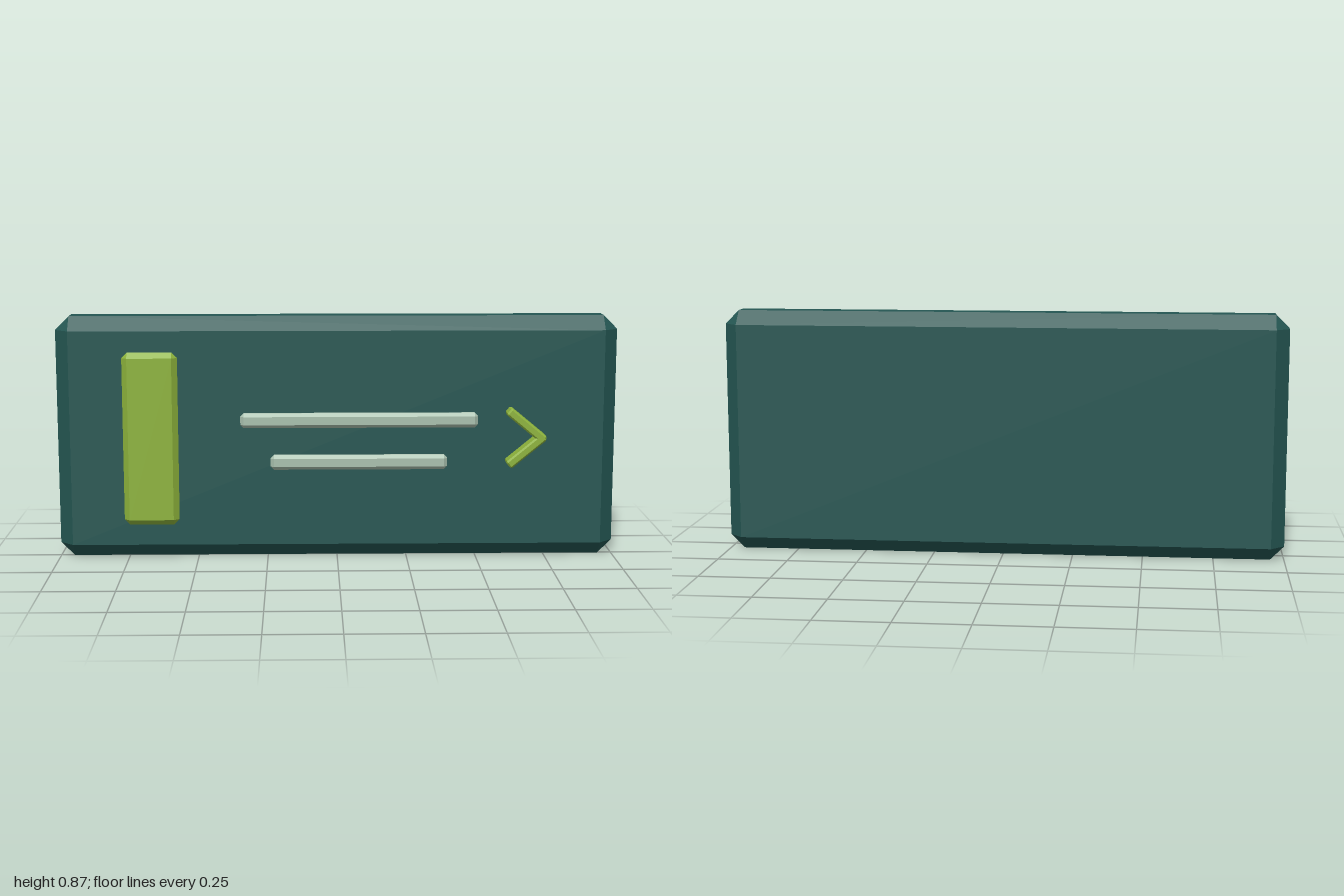
import * as THREE from 'three';
import { ConvexGeometry } from 'three/addons/geometries/ConvexGeometry.js';

// Box with flat 45 degree bevels on every edge
function bevelBox(w, h, d, c) {
  const points = [];
  for (const sx of [-1, 1]) for (const sy of [-1, 1]) for (const sz of [-1, 1]) {
    for (const [a, b, e] of [[0, c, c], [c, 0, c], [c, c, 0]]) {
      points.push(new THREE.Vector3(sx * (w / 2 - a), sy * (h / 2 - b), sz * (d / 2 - e)));
    }
  }
  return new ConvexGeometry(points);
}

export function createModel() {
  const group = new THREE.Group();
  const material = (name, color) => {
    const m = new THREE.MeshStandardMaterial({ color });
    m.name = name;
    return m;
  };
  const teal = material('dark teal', 0x245652);
  const lime = material('lime green', 0x8db33c);
  const pale = material('pale sage', 0xa9c0ae);

  const add = (name, mat, size, bevel, pos, angle = 0) => {
    const mesh = new THREE.Mesh(bevelBox(...size, bevel), mat);
    mesh.name = name;
    mesh.position.set(...pos);
    mesh.rotation.z = angle;
    group.add(mesh);
  };

  // Bevelled slab
  add('panel', teal, [2, 0.87, 0.165], 0.049, [0, 0.435, -0.029]);

  // Upright accent bar
  add('accentBar', lime, [0.196, 0.62, 0.04], 0.0195, [-0.663, 0.438, 0.07]);

  // Two raised lines
  add('upperLine', pale, [0.845, 0.053, 0.034], 0.012, [0.078, 0.504, 0.07]);
  add('lowerLine', pale, [0.63, 0.053, 0.034], 0.012, [0.077, 0.353, 0.07]);

  // Arrow head from two mirrored strokes
  for (const s of [1, -1]) {
    add(s > 0 ? 'upperArrowStroke' : 'lowerArrowStroke', lime,
      [0.165, 0.031, 0.066], 0.006, [0.671, 0.442 + s * 0.045, 0.079], -s * 0.69);
  }
  return group;
}
